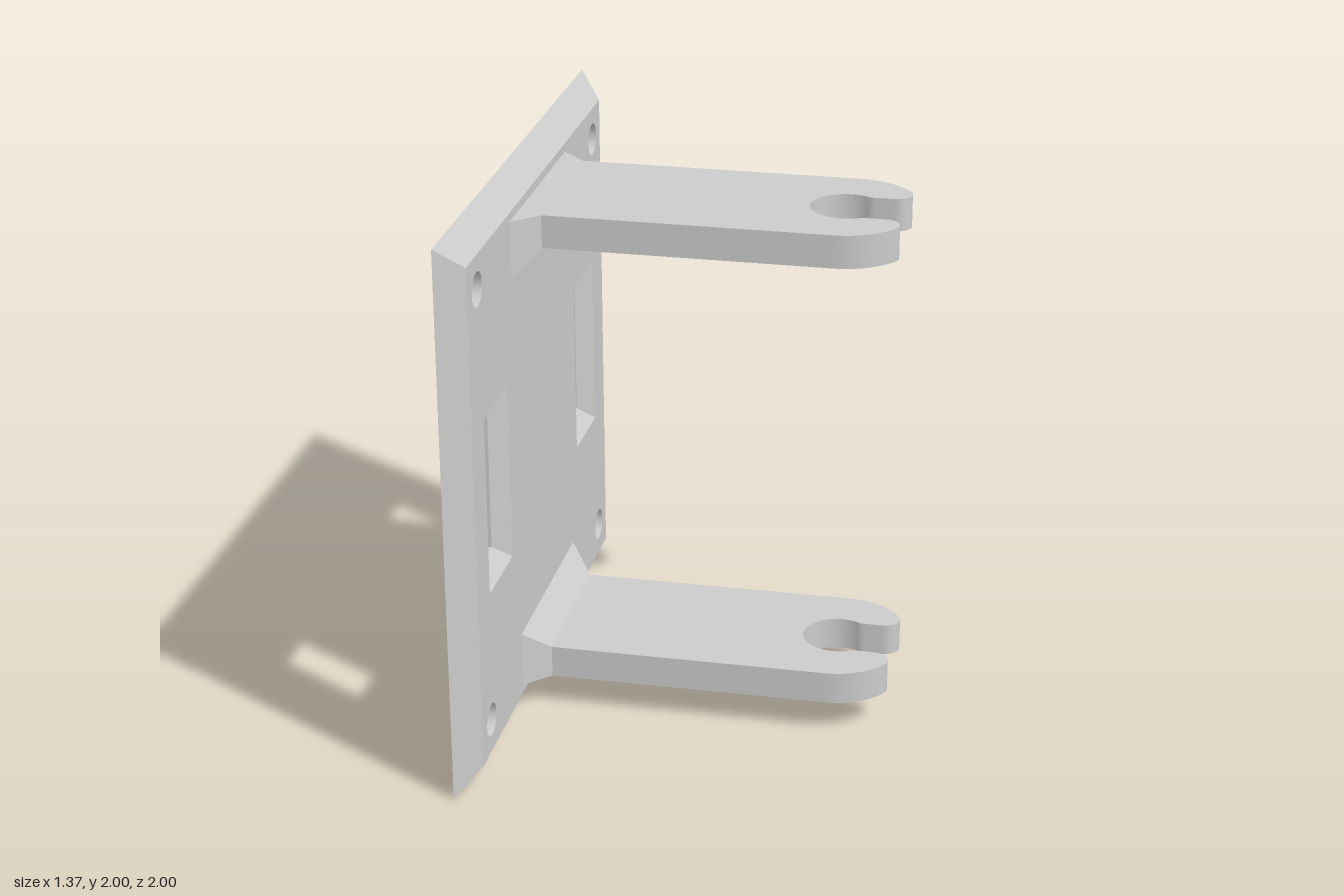
import * as THREE from 'three';
import { mergeGeometries, toCreasedNormals } from 'three/addons/utils/BufferGeometryUtils.js';

const BACK = -0.687, FRONT = -0.602, ARM = -0.515; // x of plate back, plate front, arm root
const material = new THREE.MeshStandardMaterial({ color: 0xcccccc });

// Counter-clockwise outlines in the plate plane (u = -z, v = y - 1)
const rect = (u0, u1, v0, v1) => [[u0, v0], [u1, v0], [u1, v1], [u0, v1]].map(p => new THREE.Vector2(...p));
const circle = (u, v, r, n = 40) => Array.from({ length: n }, (_, i) => {
  const a = i / n * Math.PI * 2;
  return new THREE.Vector2(u + r * Math.cos(a), v + r * Math.sin(a));
});

// Wall joining two outlines; facing outward, or inward for openings
function wall(a, za, b, zb, inward = false) {
  const pos = [];
  a.forEach((p, i) => {
    const j = (i + 1) % a.length;
    const quad = [[a[i], za], [a[j], za], [b[j], zb], [b[i], zb]];
    const order = inward ? [0, 2, 1, 0, 3, 2] : [0, 1, 2, 0, 2, 3];
    for (const k of order) pos.push(quad[k][0].x, quad[k][0].y, quad[k][1]);
  });
  const g = new THREE.BufferGeometry();
  g.setAttribute('position', new THREE.Float32BufferAttribute(pos, 3));
  return g;
}

// Flat sheet with openings
function sheet(outline, holes) {
  const s = new THREE.Shape(outline);
  s.holes = holes.map(h => new THREE.Path(h));
  const g = new THREE.ShapeGeometry(s).toNonIndexed();
  g.deleteAttribute('normal');
  g.deleteAttribute('uv');
  return g;
}

// Bevelled plate with four screw holes and two chamfered windows
function plateGeometry() {
  const outerBack = rect(-1, 1, -1, 1), outerFront = rect(-0.912, 0.912, -0.912, 0.912);
  const parts = [wall(outerBack, BACK, outerFront, FRONT)];
  const frontHoles = [], backHoles = [];
  for (const s of [-1, 1]) {
    for (const t of [-1, 1]) {
      const c = circle(s * 0.795, t * 0.795, 0.06);
      parts.push(wall(c, BACK, c, FRONT, true));
      frontHoles.push(c);
      backHoles.push(c);
    }
    const m = s * 0.618;
    const wide = rect(m - 0.148, m + 0.148, -0.323, 0.326);
    const narrow = rect(m - 0.09, m + 0.09, -0.265, 0.268);
    const step = FRONT - 0.058;
    parts.push(wall(narrow, BACK, narrow, step, true), wall(narrow, step, wide, FRONT, true));
    frontHoles.push(wide);
    backHoles.push(narrow);
  }
  const back = sheet(outerBack, backHoles);
  back.rotateY(Math.PI).translate(0, 0, BACK);
  parts.push(sheet(outerFront, frontHoles).translate(0, 0, FRONT), back);
  return toCreasedNormals(mergeGeometries(parts), 0.5).rotateY(Math.PI / 2);
}

// Half of the arm outline, from the notch bottom to the root (z >= 0)
function halfOutline() {
  const p = new THREE.Path();
  p.moveTo(0.355, 0);
  p.absarc(0.48, 0, 0.125, Math.PI, 1.065, true);
  p.quadraticCurveTo(0.548, 0.105, 0.57, 0.105);
  p.lineTo(0.63, 0.105);
  p.absarc(0.63, 0.16, 0.055, -Math.PI / 2, 0.592, false);
  p.absarc(0.48, 0.0594, 0.2356, 0.592, Math.PI / 2, false);
  p.lineTo(ARM, 0.295);
  return p.getPoints(20);
}

// Forked arm, extruded upward
function armGeometry() {
  const half = halfOutline();
  const other = half.slice(1).reverse().map(p => new THREE.Vector2(p.x, -p.y));
  const g = new THREE.ExtrudeGeometry(new THREE.Shape([...half, ...other]), { depth: 0.117, bevelEnabled: false });
  g.rotateX(-Math.PI / 2).translate(0, -0.881, 0);
  return toCreasedNormals(g, 0.5);
}

// Flared root between arm and plate
function gussetGeometry() {
  const g = wall(rect(-0.382, 0.382, -0.881, -0.677), FRONT, rect(-0.295, 0.295, -0.881, -0.764), ARM);
  g.computeVertexNormals();
  return g.rotateY(Math.PI / 2);
}

export function createModel() {
  const model = new THREE.Group();
  model.name = 'wallBracket';
  const add = (parent, name, geometry) => {
    const mesh = new THREE.Mesh(geometry, material);
    mesh.name = name;
    parent.add(mesh);
  };

  const plate = new THREE.Group();
  plate.name = 'backPlate';
  plate.position.y = 1;
  add(plate, 'plate', plateGeometry());
  model.add(plate);

  // The upper arm is the lower one turned over
  const arm = armGeometry(), gusset = gussetGeometry();
  for (const [name, turn] of [['lowerArm', 0], ['upperArm', Math.PI]]) {
    const g = new THREE.Group();
    g.name = name;
    g.position.y = 1;
    g.rotation.x = turn;
    add(g, 'fork', arm);
    add(g, 'gusset', gusset);
    model.add(g);
  }
  return model;
}
